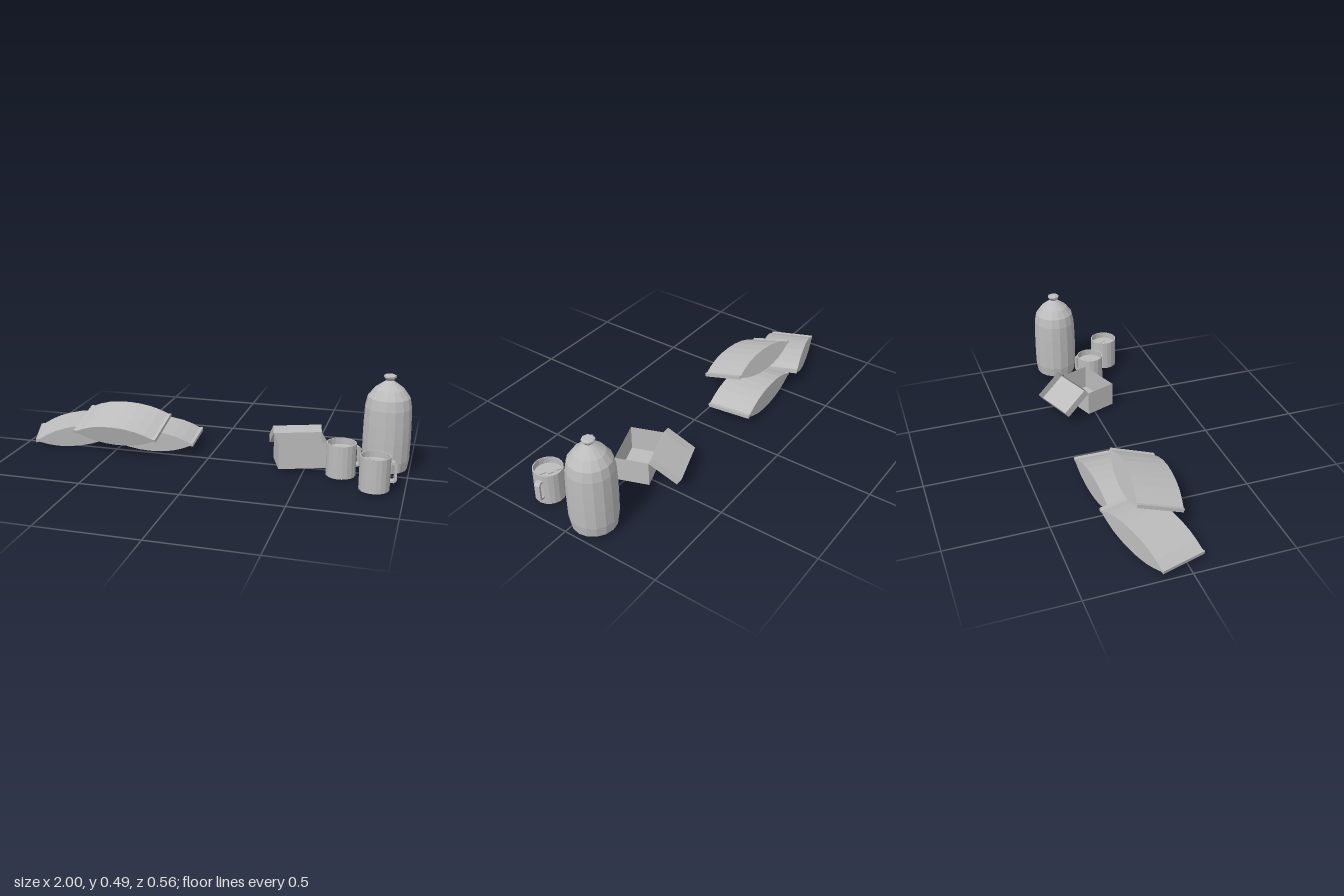
import * as THREE from 'three';

const grey = new THREE.MeshStandardMaterial({ color: 0xbcbcbc, side: THREE.DoubleSide });
grey.name = 'plain grey';

// Faceted normals for low-poly parts
function facet(geometry) {
  const g = geometry.index ? geometry.toNonIndexed() : geometry;
  g.computeVertexNormals();
  return g;
}

function add(parent, name, geometry, x = 0, y = 0, z = 0) {
  const mesh = new THREE.Mesh(geometry, grey);
  mesh.name = name;
  mesh.position.set(x, y, z);
  parent.add(mesh);
  return mesh;
}

function lathe(points, segments) {
  return facet(new THREE.LatheGeometry(points.map(p => new THREE.Vector2(...p)), segments));
}

function polygon(points) {
  return new THREE.Shape(points.map(p => new THREE.Vector2(...p)));
}

// Lens-shaped cushion with thin flared seams at both ends
function cushionGeometry() {
  const half = [[0.23, 0.009], [0.212, 0.007], [0.17, 0.026], [0.12, 0.042], [0.06, 0.052], [0, 0.055]];
  const top = [...half, ...half.slice(0, -1).reverse().map(([x, y]) => [-x, y])];
  const bottom = top.map(([x, y]) => [-x, -y]);
  const g = new THREE.ExtrudeGeometry(polygon([...top, ...bottom]), { depth: 0.235, bevelEnabled: false });
  g.translate(0, 0, -0.1175);
  return facet(g);
}

// Box without its top face, standing on y = 0
function trayGeometry(w, h, d) {
  const g = new THREE.BoxGeometry(w, h, d);
  const index = Array.from(g.index.array).filter((v, i) => i < 12 || i >= 18);
  g.setIndex(index);
  g.clearGroups();
  g.translate(0, h / 2, 0);
  return g;
}

// Chamfered C-shaped handle, reaching out along +x
function handleGeometry() {
  const shape = polygon([
    [0.066, 0.035], [0.09, 0.035], [0.101, 0.047], [0.101, 0.125], [0.09, 0.137], [0.066, 0.137],
    [0.066, 0.125], [0.084, 0.125], [0.089, 0.119], [0.089, 0.053], [0.084, 0.047], [0.066, 0.047],
  ]);
  const g = new THREE.ExtrudeGeometry(shape, { depth: 0.026, bevelEnabled: false });
  g.translate(0, 0, -0.013);
  return g;
}

function mug(name, x, z, yaw) {
  const g = new THREE.Group();
  g.name = name;
  g.position.set(x, 0.013, z);
  g.rotation.y = yaw;
  add(g, 'mugBody', lathe([[0, 0], [0.072, 0], [0.072, 0.164], [0.067, 0.164], [0.067, 0.13]], 18));
  add(g, 'drink', new THREE.CircleGeometry(0.067, 18).rotateX(-Math.PI / 2), 0, 0.132, 0);
  add(g, 'handle', handleGeometry());
  return g;
}

export function createModel() {
  const model = new THREE.Group();
  model.name = 'cushionsAndMugs';

  // Cushions: position, then yaw, tilt, roll
  const cushion = cushionGeometry();
  [
    ['leftCushion', -0.745, 0.064, -0.098, 0.32, 0.05, 0.11],
    ['rightCushion', -0.327, 0.063, -0.131, 0.06, 0.05, -0.02],
    ['topCushion', -0.473, 0.139, -0.022, -0.06, 0.32, 0],
  ].forEach(([name, x, y, z, yaw, tilt, roll]) => {
    add(model, name, cushion, x, y, z).rotation.set(tilt, yaw, roll, 'YXZ');
  });

  // Tall rounded jar with a knob
  add(model, 'jar', lathe([
    [0, 0.02], [0.107, 0.02], [0.115, 0.072], [0.116, 0.17], [0.115, 0.25], [0.112, 0.33],
    [0.102, 0.38], [0.073, 0.42], [0.04, 0.445], [0.024, 0.456], [0.017, 0.461],
  ], 16), 0.883, 0, -0.075);
  add(model, 'jarKnob', lathe([
    [0.017, 0.461], [0.031, 0.477], [0.031, 0.485], [0.022, 0.489], [0, 0.489],
  ], 8), 0.883, 0, -0.075);

  // Open box with its lid folded back
  const box = new THREE.Group();
  box.name = 'box';
  box.position.set(0.471, 0.02, -0.012);
  box.rotation.y = 0.35;
  add(box, 'boxBody', trayGeometry(0.242, 0.13, 0.165));
  const hinge = new THREE.Group();
  hinge.name = 'lidHinge';
  hinge.position.set(0, 0.13, -0.0825);
  hinge.rotation.x = -0.61;
  add(hinge, 'boxLid', trayGeometry(0.245, 0.04, 0.165), 0, 0, -0.0825);
  box.add(hinge);
  model.add(box);

  // Two mugs
  model.add(mug('backMug', 0.685, 0.073, 0.57));
  const frontMug = mug('frontMug', 0.86, 0.212, 0.19);
  [[-0.035, -0.035], [0, -0.015], [0.022, 0.018]].forEach(([x, z]) => {
    add(frontMug, 'floatingPiece', new THREE.BoxGeometry(0.03, 0.008, 0.01), x, 0.134, z).rotation.y = -0.6;
  });
  model.add(frontMug);

  return model;
}
